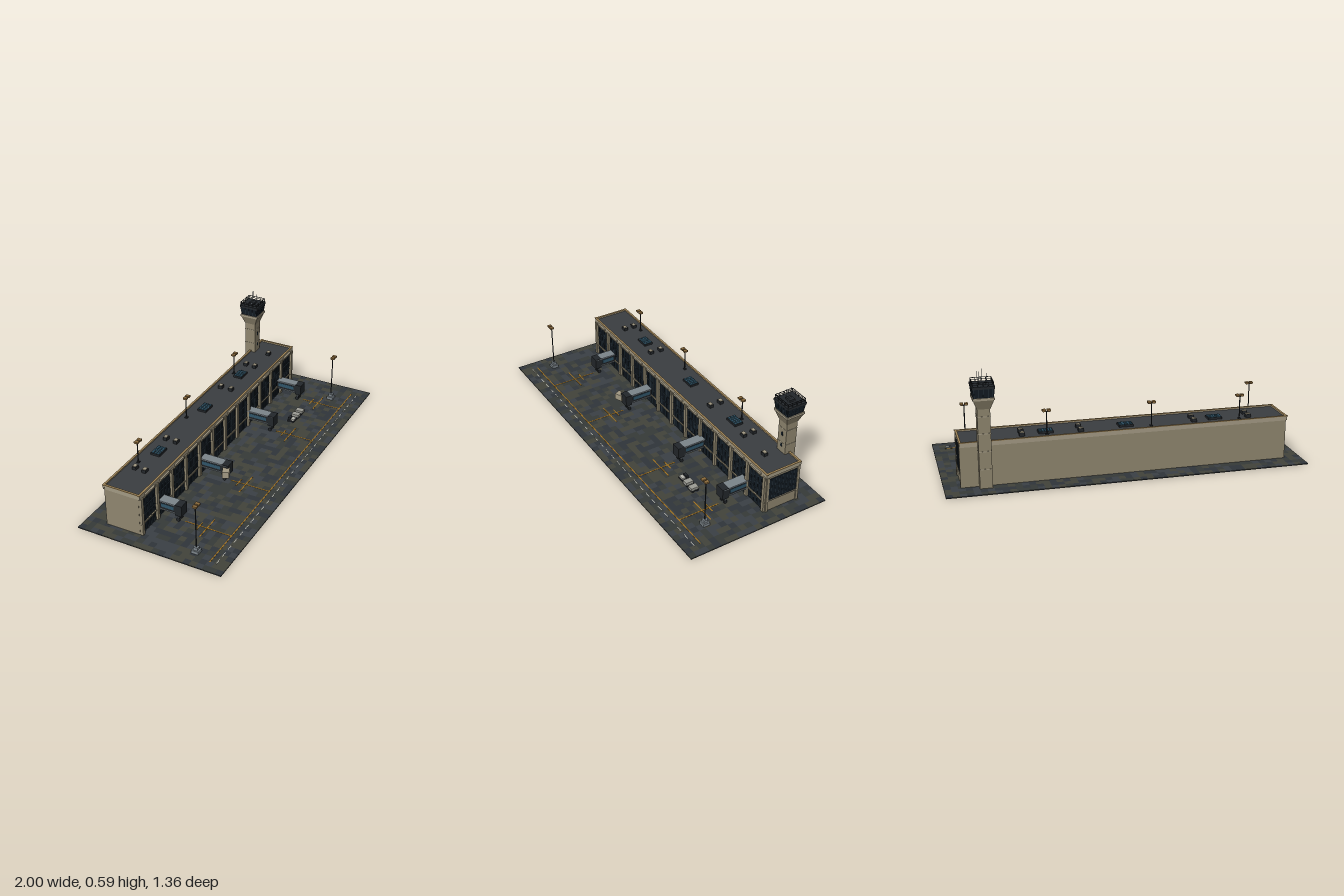
import * as THREE from 'three';
import { mergeGeometries } from 'three/addons/utils/BufferGeometryUtils.js';

const C = {
  wall: 0x8f866f, trim: 0x9c8256, coping: 0xa39a84, glass: 0x131c24, mullion: 0x2c3942, roof: 0x3b3e41,
  dark: 0x23272b, metal: 0x7c858b, pale: 0x9c9c94, blue: 0x2f5468, lamp: 0x8a6a3c,
  orange: 0xa8741c, white: 0xb8b8b0,
};
const mats = {};
const mat = (c) => (mats[c] ??= new THREE.MeshStandardMaterial({ color: c, flatShading: true }));

function add(parent, name, geo, color, x = 0, y = 0, z = 0) {
  const m = new THREE.Mesh(geo, mat(color));
  m.name = name;
  m.position.set(x, y, z);
  parent.add(m);
  return m;
}
// Box placed by its footprint centre and its bottom height
const box = (p, name, w, h, d, x, y, z, color) =>
  add(p, name, new THREE.BoxGeometry(w, h, d), color, x, y + h / 2, z);
// Upright cylinder placed by its bottom
const rod = (p, name, r, h, x, y, z, color) =>
  add(p, name, new THREE.CylinderGeometry(r, r, h, 8), color, x, y + h / 2, z);
// Square frustum with the given side lengths
function frustum(p, name, bottom, top, h, y, color) {
  const g = new THREE.CylinderGeometry(top / Math.SQRT2, bottom / Math.SQRT2, h, 4).rotateY(Math.PI / 4);
  return add(p, name, g, color, 0, y + h / 2, 0);
}
function group(parent, name, x = 0, y = 0, z = 0) {
  const g = new THREE.Group();
  g.name = name;
  g.position.set(x, y, z);
  parent.add(g);
  return g;
}

const L = 0.835, FRONT = -0.085, BACK = -0.28, MID = (FRONT + BACK) / 2, G = 0.005;
const BRIDGES = [[-0.645, 0.12], [-0.238, 0.155], [0.292, 0.155], [0.672, 0.145]];

// Paved apron: square slabs in mixed tones
function apron(p) {
  let seed = 7;
  const rnd = () => (seed = (seed * 16807) % 2147483647) / 2147483647;
  const tones = [0x30353a, 0x3b4045, 0x42433b, 0x363a38], sets = tones.map(() => []);
  const nx = 54, nz = 23, W = 1.844, D = 0.778, sx = W / nx, sz = D / nz;
  for (let i = 0; i < nx; i++) for (let j = 0; j < nz; j++) {
    const g = new THREE.BoxGeometry(sx, G, sz);
    g.translate(-W / 2 + (i + 0.5) * sx, G / 2, -D / 2 + (j + 0.5) * sz);
    sets[Math.floor(rnd() * 4)].push(g);
  }
  sets.forEach((s, i) => add(p, 'apronSlabs', mergeGeometries(s), tones[i]));

  // Painted lines
  box(p, 'taxiLine', 1.72, 0.001, 0.005, 0, G, 0.297, C.orange);
  for (let i = 0; i < 30; i++) box(p, 'edgeDash', 0.033, 0.001, 0.004, -0.84 + i * 0.058, G, 0.33, C.white);
  for (const [x, len] of BRIDGES) {
    const z0 = FRONT + len + 0.01;
    box(p, 'standLine', 0.005, 0.001, 0.297 - z0, x, G, (z0 + 0.297) / 2, C.orange);
    box(p, 'stopBar', 0.15, 0.001, 0.005, x, G, 0.165, C.orange);
    box(p, 'stopBar', 0.06, 0.001, 0.005, x, G, 0.125, C.orange);
  }
}

function terminal(p) {
  box(p, 'terminalWalls', 2 * L, 0.222, FRONT - BACK - 0.006, 0, 0.002, MID - 0.003, C.wall);
  box(p, 'roofDeck', 2 * L - 0.01, 0.003, 0.19, 0, 0.224, MID, C.roof);
  // Parapet with coping
  for (const z of [FRONT, BACK]) {
    box(p, 'parapet', 2 * L + 0.01, 0.022, 0.008, 0, 0.211, z, C.coping);
    box(p, 'copingEdge', 2 * L + 0.016, 0.004, 0.011, 0, 0.232, z, C.trim);
  }
  for (const s of [-1, 1]) {
    box(p, 'parapet', 0.008, 0.022, 0.2, s * L, 0.211, MID, C.coping);
    box(p, 'copingEdge', 0.011, 0.004, 0.206, s * L, 0.232, MID, C.trim);
  }
  // Glazed front in twelve bays
  const bay = (2 * L - 0.02) / 12, x0 = -L + 0.01;
  box(p, 'frontGlass', 2 * L - 0.02, 0.195, 0.004, 0, G, FRONT - 0.004, C.glass);
  box(p, 'frontFascia', 2 * L, 0.012, 0.012, 0, 0.199, FRONT - 0.001, C.wall);
  box(p, 'floorBand', 2 * L, 0.008, 0.008, 0, 0.056, FRONT - 0.001, C.wall);
  for (const y of [0.1, 0.145]) box(p, 'frontTransom', 2 * L - 0.02, 0.002, 0.003, 0, y, FRONT - 0.001, C.mullion);
  for (let i = 0; i <= 12; i++) {
    const x = x0 + i * bay;
    box(p, 'pilaster', 0.018, 0.212, 0.016, x, 0.002, FRONT + 0.002, C.wall);
    if (i === 12) break;
    for (let k = 1; k < 5; k++) box(p, 'frontMullion', 0.002, 0.195, 0.003, x + (k * bay) / 5, G, FRONT - 0.001, C.mullion);
    box(p, 'eavePanel', bay * 0.6, 0.01, 0.014, x + bay / 2, 0.212, FRONT + 0.006, C.coping);
  }
  // Glazed upper part of the left end
  box(p, 'endGlass', 0.004, 0.128, 0.176, L + 0.001, 0.071, MID, C.glass);
  for (let k = 1; k < 8; k++) box(p, 'endMullion', 0.003, 0.128, 0.002, L + 0.003, 0.071, MID - 0.088 + k * 0.022, C.mullion);
  for (const y of [0.1, 0.145]) box(p, 'endTransom', 0.003, 0.002, 0.176, L + 0.003, y, MID, C.mullion);
  box(p, 'endSill', 0.01, 0.006, 0.19, L + 0.001, 0.065, MID, C.coping);
  for (const z of [FRONT - 0.008, BACK + 0.007]) box(p, 'endPier', 0.01, 0.21, 0.014, L + 0.001, 0.002, z, C.wall);
}

function roofItems(p) {
  for (const x of [-0.47, 0, 0.407]) {
    const s = group(p, 'skylight', x, 0.226, -0.2);
    box(s, 'skylightFrame', 0.074, 0.012, 0.05, 0, 0, 0, C.dark);
    for (let i = 0; i < 5; i++) for (let j = 0; j < 3; j++)
      box(s, 'skylightPane', 0.0115, 0.003, 0.0125, -0.028 + i * 0.014, 0.0115, -0.0155 + j * 0.0155, C.blue);
  }
  const units = [[-0.645, -0.226], [-0.647, -0.17], [-0.353, -0.228], [-0.357, -0.168], [0.235, -0.23],
    [0.235, -0.168], [0.528, -0.226], [0.526, -0.17], [0.7, -0.169]];
  for (const [x, z] of units) {
    box(p, 'airUnit', 0.027, 0.018, 0.022, x, 0.226, z, C.dark);
    box(p, 'airUnitLid', 0.022, 0.003, 0.017, x, 0.244, z, C.coping);
  }
}

// Lamp post with a twin head
function lampPost(p, x, y, z, h, footed) {
  const g = group(p, 'lampPost', x, y, z);
  if (footed) {
    box(g, 'lampFoot', 0.036, 0.016, 0.036, 0, 0, 0, C.metal);
    box(g, 'lampPlinth', 0.022, 0.016, 0.022, 0, 0.016, 0, C.metal);
  } else box(g, 'lampFoot', 0.014, 0.006, 0.014, 0, 0, 0, C.dark);
  rod(g, 'lampPole', 0.003, h - 0.008, 0, 0, 0, C.dark);
  box(g, 'lampArm', 0.036, 0.004, 0.005, 0, h - 0.012, 0, C.dark);
  for (const s of [-1, 1]) box(g, 'lampHead', 0.017, 0.009, 0.022, s * 0.012, h - 0.009, 0.005, C.lamp);
}

// Boarding bridge reaching out from the front
function bridge(p, x, len, turned) {
  const g = group(p, 'boardingBridge', x, 0, FRONT);
  box(g, 'bridgeTunnel', 0.046, 0.042, len - 0.02, 0, 0.056, len / 2 - 0.01, C.dark);
  box(g, 'bridgeRoof', 0.054, 0.005, len, 0, 0.098, len / 2, C.metal);
  box(g, 'bridgeFloor', 0.052, 0.006, len - 0.01, 0, 0.052, len / 2, C.metal);
  for (const s of [-1, 1]) box(g, 'bridgeWindow', 0.003, 0.02, len - 0.05, s * 0.023, 0.068, len / 2 - 0.015, C.blue);
  box(g, 'bridgeHead', 0.054, 0.06, 0.036, 0, 0.044, len - 0.012, C.dark);
  for (const s of [-1, 1]) {
    rod(g, 'bridgeLeg', 0.004, 0.05, s * 0.014, G, len - 0.02, C.metal);
    const w = add(g, 'bridgeWheel', new THREE.CylinderGeometry(0.009, 0.009, 0.008, 12).rotateZ(Math.PI / 2),
      C.dark, s * 0.014, G + 0.009, len - 0.02);
    w.name = 'bridgeWheel';
  }
  box(g, 'bridgeAxle', 0.036, 0.006, 0.012, 0, 0.018, len - 0.02, C.dark);
  if (turned) {
    const c = box(g, 'turnedCab', 0.045, 0.036, 0.036, -0.042, 0.054, len + 0.003, C.coping);
    c.rotation.y = 0.4;
  }
}

function tower(p) {
  const t = group(p, 'controlTower', 0.72, 0, -0.283);
  box(t, 'towerShaft', 0.062, 0.41, 0.062, 0, 0.002, 0, C.wall);
  for (const y of [0.1, 0.19, 0.28, 0.365]) box(t, 'shaftJoint', 0.065, 0.004, 0.065, 0, y, 0, C.coping);
  for (const y of [0.26, 0.325]) box(t, 'shaftWindow', 0.012, 0.02, 0.004, 0, y, 0.031, C.glass);
  frustum(t, 'towerFlare', 0.064, 0.1, 0.048, 0.405, C.wall);
  box(t, 'cabFloor', 0.104, 0.012, 0.104, 0, 0.452, 0, C.coping);
  frustum(t, 'cabGlass', 0.094, 0.106, 0.044, 0.464, C.glass);
  // Window posts lean outward with the glass
  for (let k = 0; k < 4; k++) {
    const side = group(t, 'cabSide');
    side.rotation.y = (k * Math.PI) / 2;
    for (let i = -2; i <= 2; i++)
      box(side, 'cabPost', 0.002, 0.045, 0.003, i * 0.022, 0.464, 0.0505, C.mullion).rotation.x = 0.135;
    box(side, 'roofRail', 0.1, 0.0025, 0.0025, 0, 0.539, 0.05, C.dark);
    box(side, 'roofRail', 0.1, 0.002, 0.002, 0, 0.53, 0.05, C.dark);
    for (let i = -2; i < 2; i++) box(side, 'railPost', 0.0025, 0.022, 0.0025, i * 0.025, 0.519, 0.05, C.dark);
  }
  box(t, 'cabRoof', 0.11, 0.013, 0.11, 0, 0.508, 0, C.dark);
  box(t, 'roofPlant', 0.035, 0.012, 0.03, 0, 0.52, 0, C.dark);
  for (const [x, z, h] of [[-0.024, 0.006, 0.05], [0, 0, 0.074], [0.022, -0.01, 0.066], [0.01, 0.02, 0.056]])
    rod(t, 'antenna', 0.0013, h, x, 0.52, z, C.metal);
}

// Tug pulling two baggage carts
function baggageTrain(p) {
  const put = (x, z, name, color, isTug) => {
    const g = group(p, name, x, G, z);
    box(g, 'vehicleBed', 0.034, 0.007, 0.04, 0, 0.004, 0, C.dark);
    if (isTug) {
      box(g, 'tugHood', 0.03, 0.009, 0.02, 0, 0.011, 0.009, color);
      box(g, 'tugSeat', 0.026, 0.014, 0.014, 0, 0.011, -0.011, C.dark);
    } else box(g, 'cartLoad', 0.032, 0.015, 0.042, 0, 0.01, 0, color);
    for (const sx of [-1, 1]) for (const sz of [-1, 1])
      add(g, 'vehicleWheel', new THREE.CylinderGeometry(0.005, 0.005, 0.004, 10).rotateZ(Math.PI / 2), C.dark, sx * 0.016, 0.005, sz * 0.013);
  };
  put(0.428, 0.113, 'tug', C.white, true);
  put(0.474, 0.117, 'baggageCart', C.pale, false);
  put(0.523, 0.118, 'baggageCart', C.pale, false);
  box(p, 'towBar', 0.09, 0.002, 0.003, 0.475, G + 0.005, 0.116, C.dark);
}

export function createModel() {
  const model = new THREE.Group();
  model.name = 'airportTerminal';
  const site = group(model, 'site');
  site.rotation.y = THREE.MathUtils.degToRad(20);
  apron(site);
  terminal(site);
  roofItems(site);
  for (const x of [-0.593, -0.125, 0.407]) lampPost(site, x, 0.226, -0.242, 0.13, false);
  for (const x of [-0.824, 0.759]) lampPost(site, x, G, 0.208, 0.273, true);
  BRIDGES.forEach(([x, len], i) => bridge(site, x, len, i === 1));
  tower(site);
  baggageTrain(site);
  return model;
}
